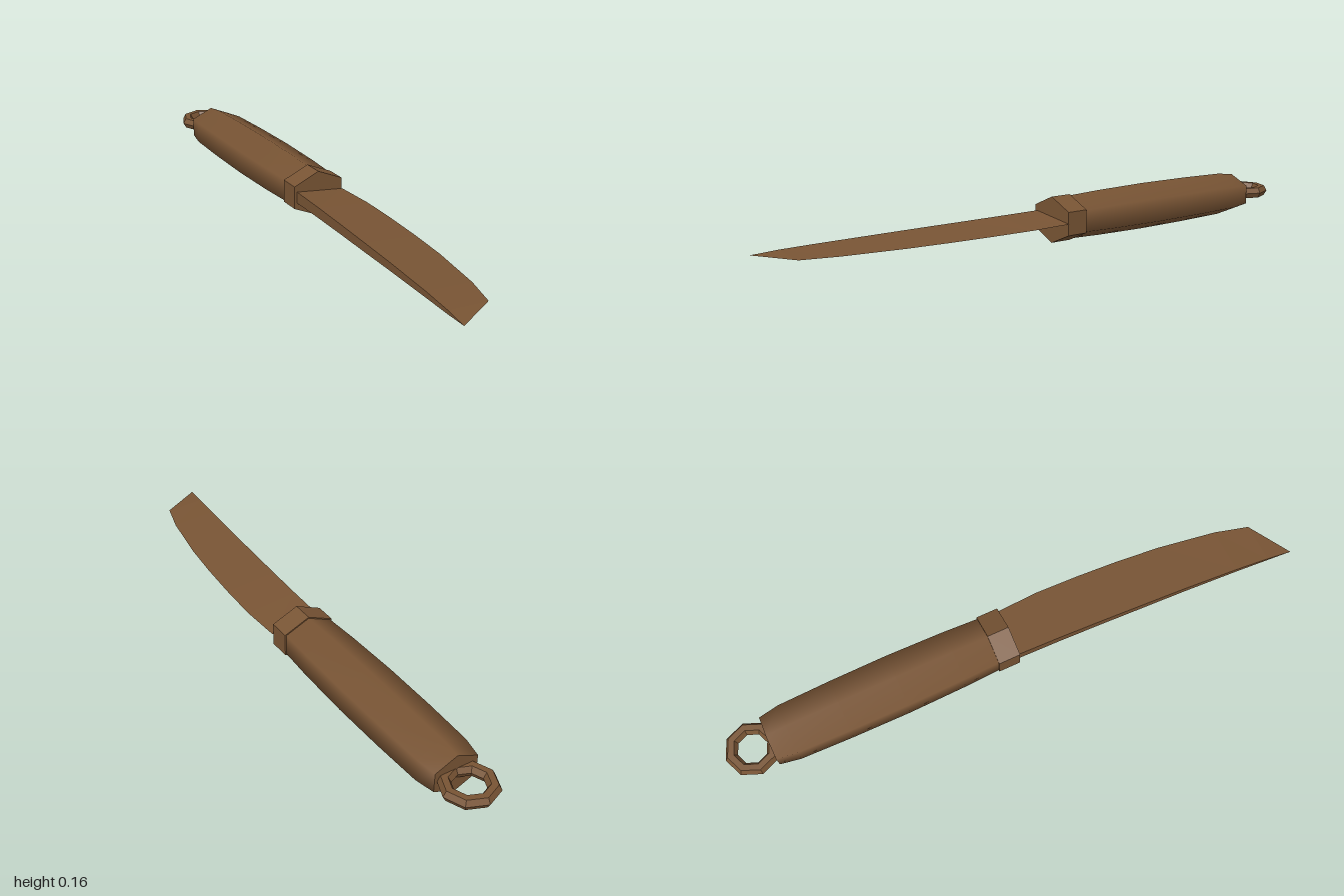
import * as THREE from 'three';

const CX = 0.0145, CY = 0.083; // axis of the handle
const WIDEN = 1.327;           // the hexagon is wider than it is tall

const brown = new THREE.MeshStandardMaterial({ color: 0x785434 });
brown.name = 'brown';

function part(name, geometry, flat) {
  let g = geometry;
  if (flat) {
    if (g.index) g = g.toNonIndexed();
    g.computeVertexNormals();
  }
  const mesh = new THREE.Mesh(g, brown);
  mesh.name = name;
  return mesh;
}

// Handle: six-sided swelling grip, smooth along its sides, sharp at the ends
function handle() {
  const profile = [
    [0, -0.85], [0.066, -0.85], [0.066, -0.85], [0.0755, -0.78], [0.0795, -0.6],
    [0.081, -0.4], [0.078, -0.2], [0.073, -0.06], [0.073, -0.06], [0, -0.06],
  ].map(([r, z]) => new THREE.Vector2(r, z));
  const g = new THREE.LatheGeometry(profile, 6);
  g.rotateX(Math.PI / 2).scale(WIDEN, 1, 1).translate(CX, CY, 0);
  return part('handle', g, false);
}

// Collar: plain hexagonal band between grip and blade
function collar() {
  const g = new THREE.CylinderGeometry(0.078, 0.078, 0.075, 6);
  g.rotateX(Math.PI / 2).scale(WIDEN, 1, 1).translate(CX, CY, -0.0375);
  return part('collar', g, true);
}

// Ring: eight-sided loop lying flat at the end of the handle
function ring() {
  const g = new THREE.TorusGeometry(0.071, 0.021, 6, 8);
  g.rotateX(Math.PI / 2).translate(CX - 0.001, CY + 0.001, -0.908);
  return part('ring', g, true);
}

// Blade: wedge sections with a flat spine on one side and a keen edge on the other
function blade() {
  const sections = [ // z, spine x, edge x, half thickness of spine
    [0, -0.066, 0.107, 0.0195], [0.15, -0.07, 0.114, 0.018], [0.3, -0.076, 0.109, 0.0165],
    [0.45, -0.083, 0.1, 0.015], [0.6, -0.09, 0.086, 0.013], [0.8, -0.102, 0.055, 0.0095],
    [0.915, -0.111, 0.024, 0.006],
  ];
  const pos = [], idx = [];
  for (const [z, s, e, h] of sections) pos.push(s, CY + h, z, e, CY, z, s, CY - h, z);
  for (let i = 0; i < sections.length - 1; i++) {
    for (let k = 0; k < 3; k++) {
      const a = i * 3 + k, b = i * 3 + (k + 1) % 3;
      idx.push(a, a + 3, b, b, a + 3, b + 3);
    }
  }
  // Slanted point and closed root
  const last = (sections.length - 1) * 3, tip = last + 3;
  pos.push(-0.119, CY, 1);
  for (let k = 0; k < 3; k++) idx.push(last + k, tip, last + (k + 1) % 3);
  idx.push(0, 1, 2);
  const g = new THREE.BufferGeometry();
  g.setAttribute('position', new THREE.Float32BufferAttribute(pos, 3));
  g.setIndex(idx);
  return part('blade', g, true);
}

export function createModel() {
  const group = new THREE.Group();
  group.name = 'knife';
  group.add(handle(), collar(), ring(), blade());
  return group;
}
